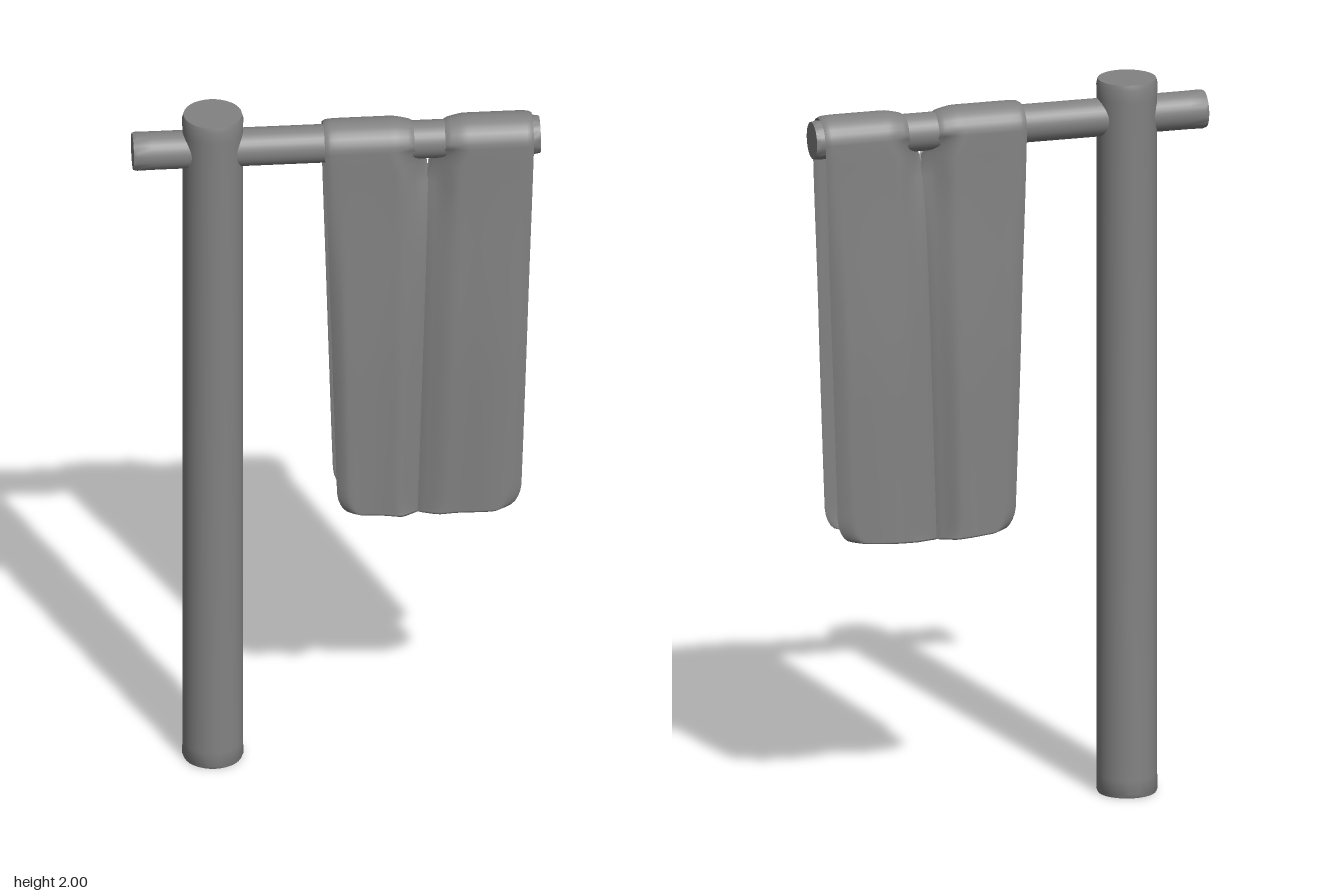
import * as THREE from 'three';
import { toCreasedNormals } from 'three/addons/utils/BufferGeometryUtils.js';

const material = new THREE.MeshStandardMaterial({ color: 0x828282 });
const clothMaterial = new THREE.MeshStandardMaterial({ color: 0x828282, side: THREE.DoubleSide });
const { smoothstep, clamp, lerp } = THREE.MathUtils;

const BEAM_Y = 1.895, BEAM_R = 0.053, DROP = 1.13;

// Round timber with softly worn ends, standing on y = 0
function pole(name, r, length) {
  const profile = [[0, 0], [r * 0.95, 0], [r, 0.01], [r * 0.985, 0.05], [r * 0.985, length - 0.05],
    [r, length - 0.015], [r * 0.95, length], [0, length]].map(p => new THREE.Vector2(...p));
  const mesh = new THREE.Mesh(toCreasedNormals(new THREE.LatheGeometry(profile, 32), 0.9), material);
  mesh.name = name;
  return mesh;
}

// Rows along the drape: front hem, up, over the beam, down to the back hem
function drapeRows() {
  const drops = [];
  for (let i = 0; i <= 30; i++) drops.push(DROP * (1 - Math.pow(1 - i / 30, 1.6)));
  drops.push(DROP);
  const hem = drops.length - 1;
  const side = sign => drops.map((d, i) => ({ d, sign, angle: 0, thick: i === hem ? 0 : 1 }));
  const over = [];
  for (let i = 1; i < 14; i++) over.push({ d: 0, sign: 1, angle: Math.PI * i / 14, thick: 1 });
  return [...side(1).reverse(), ...over, ...side(-1)];
}

// Half of the cloth: a flat lobe pinched in along the central fold
function clothLobe(name, left) {
  const N = 28, rows = drapeRows(), ring = 2 * (N + 1);
  const positions = [], index = [];

  const point = (row, w, face) => {
    const { d, sign, angle } = row;
    const toSeam = left ? w : 1 - w;
    // side edges taper down, round off at the hem and part around the beam
    const q = clamp((d - DROP + 0.07) / 0.07, 0, 1);
    const inset = 0.04 * (1 - Math.sqrt(1 - q * q));
    const gap = 0.042 * (1 - smoothstep(d, 0, 0.07));
    const seam = 0.25 - 0.03 * d;
    const x0 = left ? -0.035 + 0.03 * d + inset : seam + gap;
    const x1 = left ? seam - gap : 0.53 - 0.032 * d - inset;
    const x = lerp(x0, x1, w);
    const half = 0.007 * row.thick * Math.sqrt(Math.max(0, 1 - Math.pow(2 * w - 1, 8))) * face;

    if (angle > 0) {
      const tuck = 0.008 * smoothstep(toSeam, 0.75, 1);
      return [x, BEAM_Y + (0.059 + half - tuck) * Math.sin(angle), (0.064 + half - tuck) * Math.cos(angle)];
    }
    // fold depth hugs the beam, closes under it, then opens again
    const hug = Math.sqrt(Math.max(0, 0.056 ** 2 - d * d));
    const open = d > 0.056 ? 0.055 * (1 - Math.exp((0.056 - d) / 0.12)) : 0;
    const fold = Math.max(hug, open, 0.006);
    const bulge = 0.064 + 0.014 * smoothstep(d, 0, 0.7);
    const wave = 0.004 * d * Math.sin(x * 30 + (sign > 0 ? 0.6 : 2.4) + d);
    const edge = 0.012 * smoothstep(1 - toSeam, 0.85, 1) * smoothstep(d, 0.1, 0.5);
    const z = lerp(bulge + wave - edge, fold, smoothstep(toSeam, 0.7, 1)) + half;
    const sag = 0.012 * smoothstep(d, 0.9, DROP) * (1 - toSeam);
    return [x, BEAM_Y - d + sag, sign * z];
  };

  rows.forEach((row, r) => {
    for (let j = 0; j < ring; j++) {
      const outer = j <= N;
      positions.push(...point(row, (outer ? j : ring - 1 - j) / N, outer ? 1 : -1));
      if (r === rows.length - 1) continue;
      const a = r * ring + j, b = r * ring + (j + 1) % ring;
      index.push(a, b, b + ring, a, b + ring, a + ring);
    }
  });
  const geometry = new THREE.BufferGeometry();
  geometry.setAttribute('position', new THREE.Float32BufferAttribute(positions, 3));
  geometry.setIndex(index);
  geometry.computeVertexNormals();
  const mesh = new THREE.Mesh(geometry, clothMaterial);
  mesh.name = name;
  return mesh;
}

export function createModel() {
  const model = new THREE.Group();
  model.name = 'postWithHangingCloth';

  // Upright post
  const post = pole('post', 0.083, 2);
  post.position.set(-0.333, 0, -0.002);

  // Crossbeam through the post
  const beam = pole('crossbeam', BEAM_R, 1.1);
  beam.rotation.z = -Math.PI / 2;
  beam.position.set(-0.55, BEAM_Y, 0);

  // Cloth folded over the beam
  const cloth = new THREE.Group();
  cloth.name = 'cloth';
  cloth.add(clothLobe('clothInnerHalf', true), clothLobe('clothOuterHalf', false));

  model.add(post, beam, cloth);
  return model;
}
